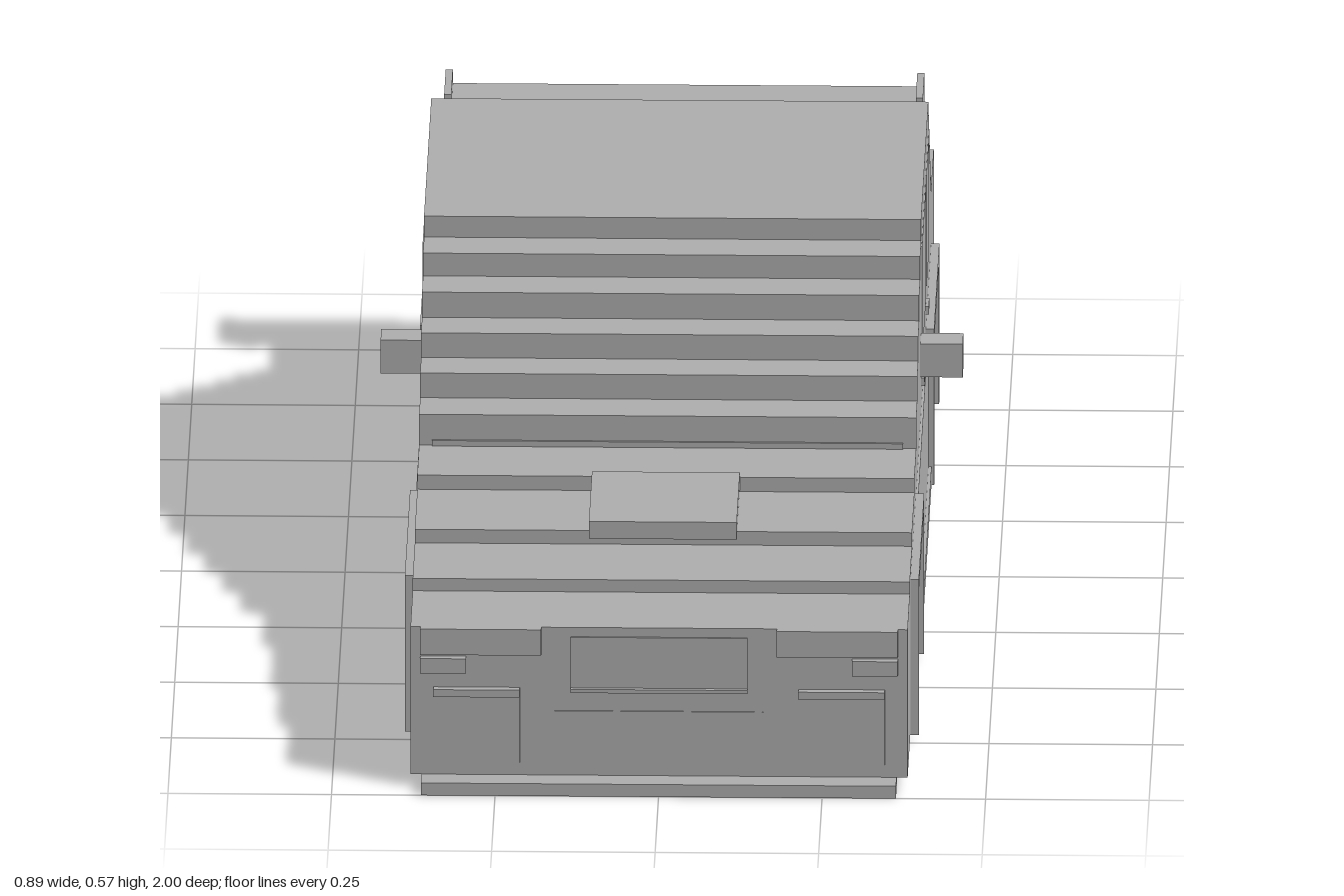
import * as THREE from 'three';

export function createModel() {
  const car = new THREE.Group();
  car.name = 'steppedCar';
  const grey = new THREE.MeshStandardMaterial({ color: 0xb0b0b0 });
  grey.name = 'plain grey';

  // Box given by its limits on each axis
  const box = (name, x0, x1, y0, y1, z0, z1) => {
    const m = new THREE.Mesh(new THREE.BoxGeometry(x1 - x0, y1 - y0, z1 - z0), grey);
    m.position.set((x0 + x1) / 2, (y0 + y1) / 2, (z0 + z1) / 2);
    m.name = name;
    car.add(m);
  };
  // The same box on both sides of the car
  const pair = (name, x0, x1, ...rest) => {
    box(name + 'Left', x0, x1, ...rest);
    box(name + 'Right', -x1, -x0, ...rest);
  };
  // Side outline of [z, y] points, extruded from x0 to x1
  const slab = (name, pts, x0, x1) => {
    const shape = new THREE.Shape(pts.map(([z, y]) => new THREE.Vector2(z, y)));
    const g = new THREE.ExtrudeGeometry(shape, { depth: x1 - x0, bevelEnabled: false });
    g.rotateY(-Math.PI / 2).translate(x1, 0, 0);
    const m = new THREE.Mesh(g, grey);
    m.name = name;
    car.add(m);
  };
  const slabPair = (name, pts, x0, x1) => {
    slab(name + 'Left', pts, x0, x1);
    slab(name + 'Right', pts, -x1, -x0);
  };

  // Stepped upper outline, as [z where the level starts, its height]
  const levels = [
    [0.96, 0.26], [0.8, 0.28], [0.64, 0.302], [0.46, 0.325], [0.325, 0.375],
    [0.25, 0.415], [0.18, 0.455], [0.11, 0.496], [0.037, 0.533], [-0.035, 0.567],
    [-0.565, 0.533], [-0.6, 0.496], [-0.64, 0.455], [-0.68, 0.415], [-0.72, 0.375], [-0.757, 0.345],
  ];
  const top = [];
  levels.forEach(([z, y], i) => {
    const end = i + 1 < levels.length ? levels[i + 1][0] : -0.965;
    top.push([z, y], [end, y]);
  });

  // Body: full-height core and flanks with wheel wells cut out
  const floor = 0.02, wellTop = 0.24;
  const well = (a, b) => [[a, floor], [a, wellTop], [b, wellTop], [b, floor]];
  slab('bodyCore', [...top, [-0.965, floor], [0.96, floor]], -0.2, 0.2);
  slabPair('bodyFlank', [...top, [-0.965, floor], ...well(-0.735, -0.39),
    ...well(0.39, 0.735), [0.96, floor]], 0.2, 0.38);

  // Wheel arch trims
  for (const [name, c] of [['frontArch', 0.5625], ['rearArch', -0.5625]]) {
    const o = 0.1925, i = 0.172;
    slabPair(name, [[c + o, 0.015], [c + o, 0.268], [c - o, 0.268], [c - o, 0.015],
      [c - i, 0.015], [c - i, 0.248], [c + i, 0.248], [c + i, 0.015]], 0.375, 0.393);
  }

  // Doors, sills, handles and side windows
  pair('sill', 0.375, 0.389, 0.018, 0.045, -0.37, 0.37);
  pair('door', 0.375, 0.384, 0.045, 0.26, -0.37, 0.37);
  for (const z of [-0.4, -0.08]) pair('doorHandle', 0.38, 0.385, 0.295, 0.308, z, z + 0.04);
  pair('frontWindow', 0.379, 0.382, 0.345, 0.525, -0.31, -0.03);
  pair('rearWindow', 0.379, 0.382, 0.345, 0.525, -0.53, -0.35);
  pair('mirror', 0.375, 0.445, 0.336, 0.39, -0.015, 0.034);

  // Bonnet scoop and windscreen base strip
  box('bonnetScoop', -0.113, 0.113, 0.305, 0.333, 0.46, 0.685);
  box('wiperStrip', -0.36, 0.36, 0.325, 0.334, 0.32, 0.329);

  // Front end
  box('frontSplitter', -0.363, 0.363, 0, 0.02, 0.94, 1);
  pair('headlight', 0.18, 0.365, 0.218, 0.26, 0.955, 0.972);
  pair('lowerHeadlight', 0.295, 0.365, 0.188, 0.212, 0.955, 0.972);
  box('grille', -0.135, 0.135, 0.16, 0.245, 0.957, 0.963);
  box('grilleLip', -0.135, 0.135, 0.157, 0.163, 0.957, 0.97);
  box('lowerIntake', -0.16, 0.16, 0.04, 0.125, 0.957, 0.962);
  pair('sideIntake', 0.213, 0.345, 0.04, 0.15, 0.957, 0.962);
  pair('sideIntakeLip', 0.213, 0.345, 0.15, 0.162, 0.957, 0.973);

  // Rear end
  box('rearValance', -0.363, 0.363, 0.005, 0.022, -0.977, -0.945);
  pair('tailLight', 0.22, 0.376, 0.288, 0.322, -0.98, -0.96);
  pair('lowerTailLight', 0.3, 0.376, 0.25, 0.28, -0.98, -0.96);
  for (const x of [0.148, 0.212]) pair('exhaust', x, x + 0.045, 0.032, 0.066, -1, -0.96);

  // Rear wing
  box('wingPlank', -0.36, 0.36, 0.43, 0.452, -0.952, -0.845);
  pair('wingEndPlate', 0.355, 0.366, 0.405, 0.473, -0.955, -0.842);
  pair('wingPost', 0.225, 0.275, 0.34, 0.435, -0.91, -0.863);

  return car;
}
